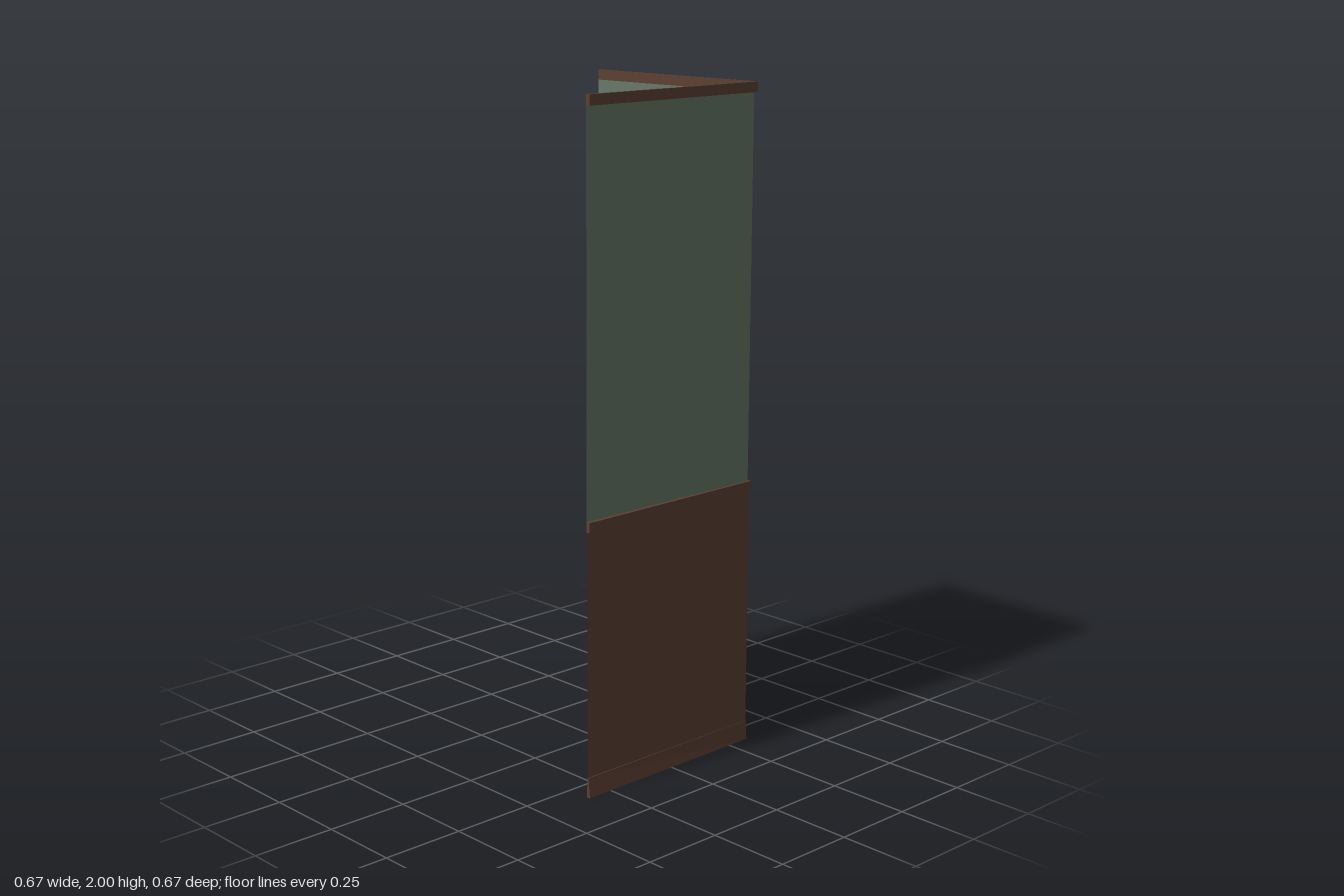
import * as THREE from 'three';

const END = -0.333; // free end of both walls

// L-shaped outline: inner face, plus outer face tapering from the free ends to the corner
function trimOutline(inner, corner, outer) {
  return [
    [inner, inner], [END, inner], [END, outer],
    [corner, corner], [outer, END], [inner, END],
  ];
}

// Solid L-shaped moulding between two heights, with its own outline at the top
function trim(name, material, y0, y1, bottom, top = bottom) {
  const shape = new THREE.Shape(bottom.map(([x, z]) => new THREE.Vector2(x, -z)));
  const geo = new THREE.ExtrudeGeometry(shape, { depth: y1 - y0, bevelEnabled: false });
  geo.rotateX(-Math.PI / 2);
  const pos = geo.attributes.position;
  for (let i = 0; i < pos.count; i++) {
    if (pos.getY(i) > (y1 - y0) / 2) {
      const k = bottom.findIndex(([x, z]) =>
        Math.abs(x - pos.getX(i)) < 1e-5 && Math.abs(z - pos.getZ(i)) < 1e-5);
      pos.setX(i, top[k][0]);
      pos.setZ(i, top[k][1]);
    }
  }
  geo.translate(0, y0, 0);
  geo.computeVertexNormals();
  const mesh = new THREE.Mesh(geo, material);
  mesh.name = name;
  return mesh;
}

// Two thin wall sheets meeting at the corner
function wallPair(name, material, y0, y1, offset) {
  const group = new THREE.Group();
  group.name = name;
  const length = offset - END;
  const mid = (offset + END) / 2;
  ['Front', 'Side'].forEach((part, i) => {
    const sheet = new THREE.Mesh(new THREE.PlaneGeometry(length, y1 - y0), material);
    sheet.name = name + part;
    sheet.rotation.y = i * Math.PI / 2;
    sheet.position.set(i ? offset : mid, (y0 + y1) / 2, i ? mid : offset);
    group.add(sheet);
  });
  return group;
}

export function createModel() {
  const wood = new THREE.MeshStandardMaterial({ color: 0x5c4033, side: THREE.DoubleSide });
  wood.name = 'dark brown wood';
  const paint = new THREE.MeshStandardMaterial({ color: 0x677968, side: THREE.DoubleSide });
  paint.name = 'sage green paint';

  const model = new THREE.Group();
  model.name = 'cornerWall';

  // Wall surfaces
  model.add(wallPair('upperWall', paint, 0.82, 1.97, 0.32));
  model.add(wallPair('wainscot', wood, 0.06, 0.79, 0.324));

  // Mouldings: the baseboard slopes in towards its top
  const profile = trimOutline(0.32, 0.327, 0.333);
  model.add(trim('crownMoulding', wood, 1.97, 2, profile));
  model.add(trim('chairRail', wood, 0.79, 0.82, profile));
  model.add(trim('baseboard', wood, 0, 0.06, profile, trimOutline(0.323, 0.325, 0.327)));

  return model;
}
